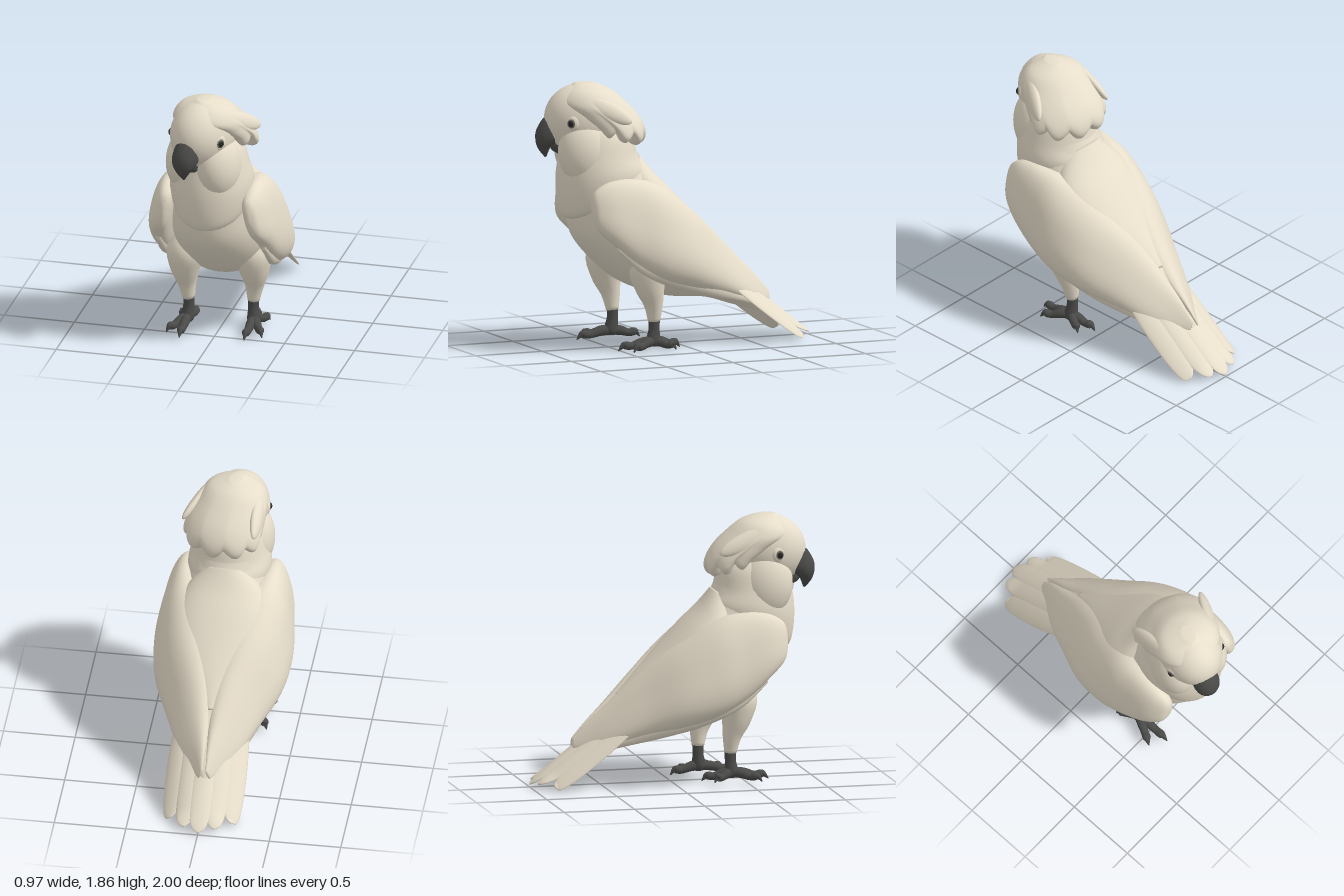
import * as THREE from 'three';

const mat = (name, color) => Object.assign(new THREE.MeshStandardMaterial({ color }), { name });

export function createModel() {
  const plumage = mat('cream plumage', 0xe6ddca);
  const horn = mat('dark horn', 0x4a4b49);
  const eyeRing = mat('eye ring grey', 0x6f6b62);
  const pupil = mat('eye black', 0x262626);
  const bird = new THREE.Group();
  bird.name = 'parrot';

  const add = (parent, name, geometry, material) => {
    const m = new THREE.Mesh(geometry, material);
    m.name = name;
    parent.add(m);
    return m;
  };

  // Smooth closed loft: section numbers are spline-interpolated, ring() makes each point
  function loft(secs, ring, steps = 40, sides = 36) {
    const pos = [], idx = [];
    const at = t => {
      const f = t * (secs.length - 1), i = Math.min(Math.floor(f), secs.length - 2), u = f - i;
      const s = k => secs[Math.max(0, Math.min(secs.length - 1, k))];
      return secs[0].map((_, k) => {
        const a = s(i - 1)[k], b = s(i)[k], c = s(i + 1)[k], d = s(i + 2)[k];
        return b + 0.5 * u * (c - a + u * (2 * a - 5 * b + 4 * c - d + u * (3 * (b - c) + d - a)));
      });
    };
    for (let j = 0; j <= steps; j++) {
      const v = at(j / steps);
      const v0 = at(Math.max(0, j - 0.5) / steps), v1 = at(Math.min(steps, j + 0.5) / steps);
      for (let k = 0; k < sides; k++) pos.push(...ring(v, (k / sides) * Math.PI * 2, v0, v1));
    }
    for (let j = 0; j < steps; j++) for (let k = 0; k < sides; k++) {
      const a = j * sides + k, b = j * sides + (k + 1) % sides;
      idx.push(a, b, a + sides, b, b + sides, a + sides);
    }
    for (const j of [0, steps]) {
      const c = [0, 0, 0], n = pos.length / 3;
      for (let k = 0; k < sides; k++) for (let q = 0; q < 3; q++) c[q] += pos[(j * sides + k) * 3 + q] / sides;
      pos.push(...c);
      for (let k = 0; k < sides; k++) {
        const a = j * sides + k, b = j * sides + (k + 1) % sides;
        idx.push(...(j ? [n, a, b] : [n, b, a]));
      }
    }
    // Turn the faces outward whichever way the sections run
    let vol = 0;
    const P = i => new THREE.Vector3().fromArray(pos, i * 3);
    for (let i = 0; i < idx.length; i += 3) vol += P(idx[i]).dot(P(idx[i + 1]).cross(P(idx[i + 2])));
    if (vol < 0) idx.reverse();
    const g = new THREE.BufferGeometry();
    g.setAttribute('position', new THREE.Float32BufferAttribute(pos, 3));
    g.setIndex(idx);
    g.computeVertexNormals();
    return g;
  }

  // Section: front z, front y, back z, back y, half width
  const slab = ([zf, yf, zb, yb, w], a) => [w * Math.sin(a),
    (yf + yb) / 2 + Math.cos(a) * (yf - yb) / 2, (zf + zb) / 2 + Math.cos(a) * (zf - zb) / 2];

  // Section: x, y, z, radius
  const round = ([x, y, z, r], a, p, q) => {
    const t = new THREE.Vector3(q[0] - p[0], q[1] - p[1], q[2] - p[2]).normalize();
    const ref = Math.abs(t.y) > 0.8 ? new THREE.Vector3(0, 0, 1) : new THREE.Vector3(0, 1, 0);
    const u = ref.cross(t).normalize(), v = t.clone().cross(u);
    return new THREE.Vector3(x, y, z).addScaledVector(u, r * Math.cos(a)).addScaledVector(v, r * Math.sin(a)).toArray();
  };
  const limb = (parent, name, pts, material) => add(parent, name, loft(pts, round, 16, 16), material);

  const ball = (parent, name, p, r, material = plumage, rot = [0, 0, 0]) => {
    const m = add(parent, name, new THREE.SphereGeometry(1, 32, 20), material);
    m.position.set(...p);
    m.scale.set(...r);
    m.rotation.set(...rot);
    return m;
  };

  // Body, mantle across the back, and chest bib
  add(bird, 'body', loft([
    [.76, 1.45, .34, 1.45, .23], [.82, 1.2, .25, 1.27, .27], [.81, 1, .08, 1.1, .3], [.76, .8, -.1, .92, .33],
    [.6, .61, -.25, .77, .34], [.4, .46, -.4, .62, .3], [.1, .355, -.52, .49, .23],
    [-.2, .325, -.62, .39, .17], [-.42, .26, -.68, .32, .1], [-.62, .2, -.72, .24, .02]], slab, 56, 48), plumage);
  add(bird, 'mantle', loft([
    [.5, 1.2, .29, 1.36, .16], [.42, 1.05, .2, 1.24, .28], [.3, .91, .07, 1.11, .33], [.12, .74, -.1, .935, .31],
    [-.06, .6, -.25, .785, .2], [-.24, .5, -.39, .64, .06]], slab, 40, 48), plumage);
  add(bird, 'bib', loft([
    [.7, 1.64, .42, 1.6, .13], [.81, 1.52, .34, 1.5, .22], [.855, 1.36, .305, 1.36, .265], [.875, 1.2, .26, 1.28, .29],
    [.865, 1.04, .25, 1.23, .28], [.835, .945, .27, 1.18, .25], [.77, .925, .32, 1.14, .19]], slab, 40, 48), plumage);

  // Wings. Section: z, top y, top x, bottom y, bottom x, bulge
  const wingSecs = [
    [.76, 1.07, .3, 1, .31, .01], [.73, 1.15, .29, .89, .35, .05], [.62, 1.21, .285, .78, .38, .09],
    [.45, 1.22, .27, .63, .38, .125], [.25, 1.165, .21, .51, .36, .18], [0, .985, .11, .43, .33, .195],
    [-.25, .77, .04, .375, .27, .13], [-.45, .585, .02, .32, .2, .07], [-.6, .45, .015, .28, .11, .03], [-.7, .34, .015, .28, .04, .008]];
  const squash = c => Math.sign(c) * Math.abs(c) ** .82;
  for (const side of [1, -1]) {
    const blade = ([z, yt, xt, yb, xb, b], a) => {
      const dx = xt - xb, dy = yt - yb, len = Math.hypot(dx, dy) || 1;
      const c = squash(Math.cos(a)) / 2, s = squash(Math.sin(a)), o = s > 0 ? s * b : s * Math.min(b, .07);
      return [side * ((xt + xb) / 2 + dx * c + o * dy / len), (yt + yb) / 2 + dy * c - o * dx / len, z];
    };
    add(bird, 'wing', loft(wingSecs, blade, 60, 48), plumage);
    // Flight feathers showing below the wing
    add(bird, 'flightFeathers', loft([
      [.6, .86, .36, .74, .38, .02], [.42, .8, .37, .575, .38, .04], [.2, .7, .36, .465, .34, .06],
      [-.1, .58, .3, .375, .29, .06], [-.4, .43, .18, .3, .21, .04], [-.62, .31, .1, .24, .13, .02],
      [-.72, .25, .07, .21, .08, .005]], blade, 36, 24), plumage);
    // Long folded feather ridge along the back
    limb(bird, 'backFeather', [[side * .08, .745, -.24, .006], [side * .055, .6, -.4, .022],
      [side * .03, .465, -.55, .022], [side * .015, .345, -.68, .006]], plumage);
  }

  // Tail: arched fan of overlapping feathers. Section: z, half width, thickness
  for (let i = -2; i <= 2; i++) {
    const n = Math.abs(i), tip = [-1, -.965, -.875][n], start = -.34 + n * .03;
    const at = t => start + (tip - start) * t;
    add(bird, 'tailFeather', loft([
      [at(0), .06, .025], [at(.35), .08, .022], [at(.7), .08, .018], [at(.9), .064, .014],
      [at(.97), .04, .01], [tip, .008, .005]], ([z, w, th], a) => {
      const x = i * .105 + w * Math.cos(a) * (1 - n * .08);
      return [x, .02 + (z + 1) * .77 - 1.75 * x * x * Math.min(1, (z + 1) * 7) + (2 - n) * .006 + th * Math.sin(a), z];
    }, 24, 20), plumage);
  }

  // Legs and feet, the right one a short step ahead
  for (const side of [1, -1]) {
    const leg = new THREE.Group();
    leg.name = side > 0 ? 'leftLeg' : 'rightLeg';
    leg.position.set(0, side > 0 ? 0 : .025, side > 0 ? .25 : .375);
    bird.add(leg);
    const L = (name, pts, m) => limb(leg, name, pts.map(([x, y, z, r]) => [side * x, y, z, r]), m);
    L('thigh', [[.2, .74, .02, .07], [.22, .6, .05, .135], [.23, .46, .04, .108], [.225, .33, .01, .068], [.215, .21, 0, .043]], plumage);
    L('shank', [[.215, .25, 0, .04], [.215, .15, 0, .039], [.22, .07, .01, .048], [.22, .035, .015, .03]], horn);
    for (const [x, z] of [[.215, .27], [.325, .2], [.2, -.2], [.3, -.13]]) {
      const p = (t, y, r) => [.22 + (x - .22) * t, y, .01 + (z - .01) * t, r];
      L('toe', [p(0, .07, .036), p(.3, .065, .034), p(.6, .045, .027), p(.78, .05, .029), p(.86, .05, .02), p(1, .014, .003)], horn);
    }
  }

  // Head, turned a little to its right
  const head = new THREE.Group();
  head.name = 'head';
  head.position.z = .58;
  head.rotation.y = -.3;
  bird.add(head);
  ball(head, 'skull', [0, 1.615, .11], [.215, .25, .265]);

  // Swept-back crest, fluted into broad feathers towards its lower rim; last number is flute depth
  add(head, 'crest', loft([
    [.16, 1.872, .03, 1.868, .04, 0], [.24, 1.81, -.08, 1.825, .175, 0], [.29, 1.73, -.19, 1.735, .24, .01],
    [.2, 1.65, -.275, 1.645, .27, .03], [.11, 1.585, -.325, 1.555, .285, .06], [.06, 1.54, -.33, 1.48, .28, .09],
    [.03, 1.53, -.285, 1.435, .235, .13], [0, 1.55, -.2, 1.46, .14, .1]], (v, a) => {
    const k = 1 - v[5] * (1 - Math.abs(Math.cos(a * 4.5 + Math.PI / 2)));
    const [x, y, z] = slab(v, a), mid = (v[0] + v[2]) / 2;
    return [x * k, y + (1 - k) * .5, mid + (z - mid) * k];
  }, 48, 108), plumage);
  for (const side of [1, -1]) {
    // Cheek, crest plume and eye
    ball(head, 'cheek', [side * .12, 1.39, .1], [.15, .24, .19], plumage, [.12, 0, side * .08]);
    ball(head, 'crestPlume', [side * .222, 1.705, -.03], [.035, .062, .2], plumage, [-.45, side * -.25, side * .35]);
    const eye = new THREE.Group();
    eye.name = 'eye';
    eye.position.set(side * .187, 1.61, .2);
    eye.rotation.y = side * 1.1;
    head.add(eye);
    ball(eye, 'eyelid', [0, 0, 0], [.05, .056, .022]);
    ball(eye, 'eyeRing', [0, 0, .008], [.032, .036, .021], eyeRing);
    ball(eye, 'pupil', [0, 0, .014], [.023, .025, .02], pupil);
  }

  // Hooked beak
  add(head, 'upperBeak', loft([
    [.32, 1.655, .24, 1.645, .035], [.38, 1.62, .22, 1.57, .078], [.428, 1.54, .24, 1.49, .094],
    [.434, 1.47, .29, 1.45, .083], [.415, 1.41, .33, 1.42, .052], [.37, 1.352, .355, 1.357, .008]], slab, 30, 28), horn);
  add(head, 'lowerBeak', loft([
    [.3, 1.49, .18, 1.5, .06], [.335, 1.44, .2, 1.42, .06], [.32, 1.4, .23, 1.38, .045],
    [.28, 1.375, .26, 1.37, .01]], slab, 20, 24), horn);

  return bird;
}
